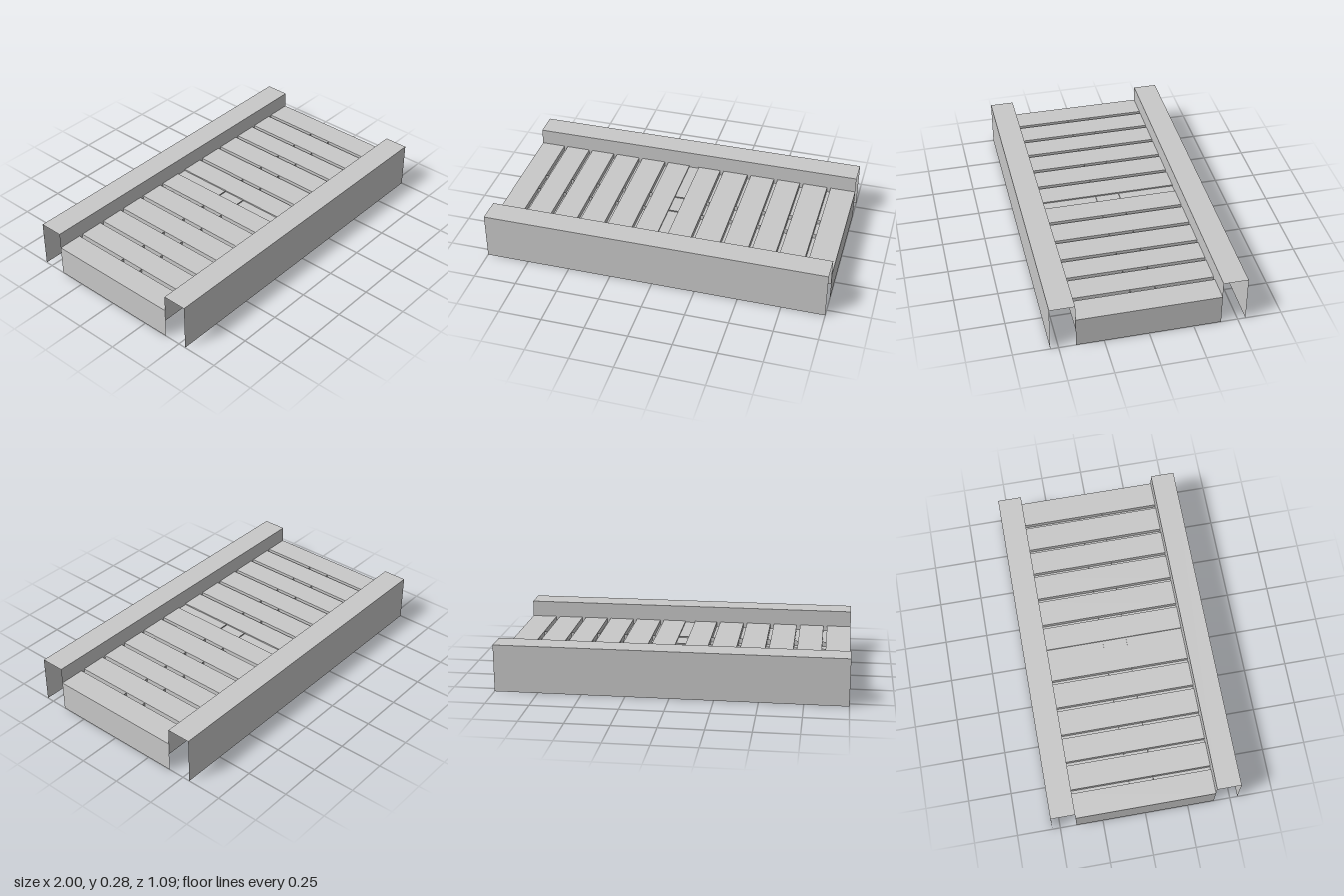
import * as THREE from 'three';

const HALF = 1, DECK_Z = 0.405, RAIL_Z = 0.545;
const DECK_Y = 0.18, RAIL_Y = 0.275, LIP_Y = 0.11, GROOVE = 0.03;

export function createModel() {
  const group = new THREE.Group();
  const steel = new THREE.MeshStandardMaterial({ color: 0xc8c8c8, side: THREE.DoubleSide });
  steel.name = 'grey steel';

  // Folded sheet: each segment of the profile is swept between two end positions.
  function sheet(name, profile, place, from, to) {
    const pos = [];
    for (let i = 0; i + 1 < profile.length; i++) {
      const a = place(profile[i], from), b = place(profile[i + 1], from);
      const c = place(profile[i + 1], to), d = place(profile[i], to);
      pos.push(...a, ...b, ...c, ...a, ...c, ...d);
    }
    const geo = new THREE.BufferGeometry();
    geo.setAttribute('position', new THREE.Float32BufferAttribute(pos, 3));
    geo.computeVertexNormals();
    const mesh = new THREE.Mesh(geo, steel);
    mesh.name = name;
    group.add(mesh);
  }
  const alongX = ([z, y], x) => [x, y, z];
  const alongZ = ([x, y], z) => [x, y, z];

  // Deck with folded-down ends, narrow grooves and a slightly sunken middle joint
  const grooves = [-0.845, -0.68, -0.517, -0.35, -0.182, 0.173, 0.345, 0.512, 0.672, 0.84];
  const dips = grooves.map((x) => [x - 0.011, x + 0.011, DECK_Y - GROOVE]);
  dips.push([-0.035, 0.025, DECK_Y - 0.008]);
  dips.sort((a, b) => a[0] - b[0]);
  const profile = [[-HALF, 0], [-HALF, DECK_Y]];
  for (const [l, r, y] of dips) profile.push([l, DECK_Y], [l, y], [r, y], [r, DECK_Y]);
  profile.push([HALF, DECK_Y], [HALF, 0]);
  sheet('groovedDeck', profile, alongZ, DECK_Z, -DECK_Z);

  for (const s of [1, -1]) {
    const side = s > 0 ? 'front' : 'back';
    // Side rail: deep outer skirt, flat top and short inner lip
    sheet(side + 'Rail',
      [[s * RAIL_Z, 0], [s * RAIL_Z, RAIL_Y], [s * DECK_Z, RAIL_Y], [s * DECK_Z, LIP_Y]],
      alongX, s * HALF, -s * HALF);
    // Stiffener running under the deck
    sheet(side + 'Stiffener', [[s * 0.07, LIP_Y], [s * 0.07, DECK_Y - 0.001]],
      alongX, s * HALF, -s * HALF);
  }
  return group;
}
